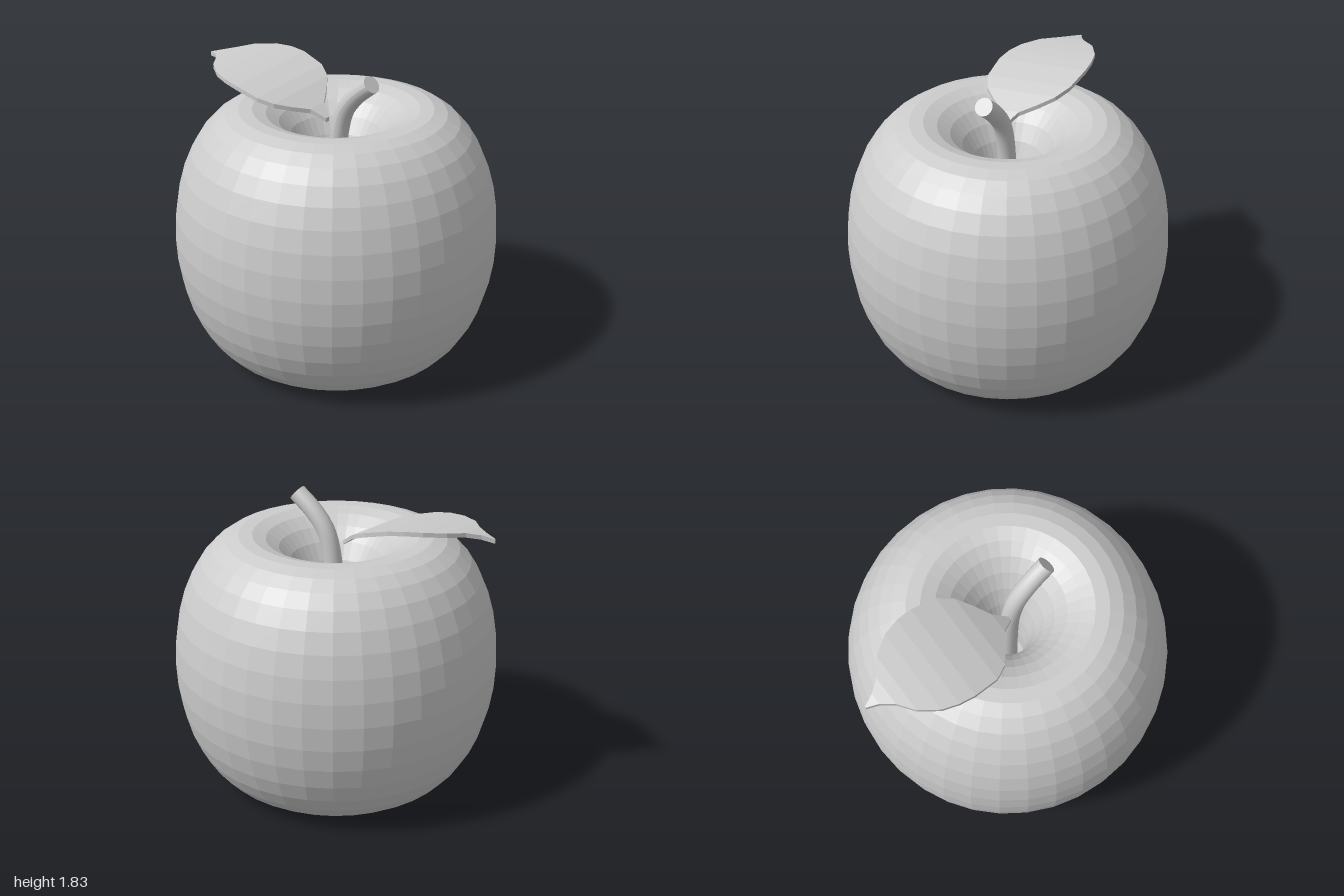
import * as THREE from 'three';

const flat = () => new THREE.MeshStandardMaterial({ color: 0xcccccc, flatShading: true });
const smooth = () => new THREE.MeshStandardMaterial({ color: 0xcccccc });

function named(name, geometry, material) {
  const mesh = new THREE.Mesh(geometry, material);
  mesh.name = name;
  return mesh;
}

// Move every vertex of a geometry by a rule, then refresh its normals.
function reshape(geometry, rule) {
  const pos = geometry.attributes.position;
  const v = new THREE.Vector3();
  for (let i = 0; i < pos.count; i++) {
    rule(v.fromBufferAttribute(pos, i));
    pos.setXYZ(i, v.x, v.y, v.z);
  }
  geometry.computeVertexNormals();
  return geometry;
}

// Fruit: a tall, faceted ring whose narrow middle forms both dimples.
function makeFruit() {
  const geometry = new THREE.TorusGeometry(0.54, 0.445, 34, 36).rotateX(Math.PI / 2);
  geometry.scale(1, 1.783, 1);
  return named('fruitBody', geometry.toNonIndexed(), flat());
}

// Core: closes the narrow middle between the dimples.
function makeCore() {
  return named('core', new THREE.CylinderGeometry(0.098, 0.098, 0.02, 36), flat());
}

// Stem: a cylinder bent along a curve.
function makeStem() {
  const curve = new THREE.CatmullRomCurve3([
    [0.012, 0.79], [0.014, 1.15], [0.03, 1.42], [0.075, 1.58], [0.16, 1.69], [0.275, 1.785],
  ].map(([x, y]) => new THREE.Vector3(x, y, -0.005)));
  const geometry = reshape(new THREE.CylinderGeometry(0.055, 0.055, 1, 20, 24), (v) => {
    const t = THREE.MathUtils.clamp(v.y + 0.5, 0, 1);
    const p = curve.getPointAt(t);
    const d = curve.getTangentAt(t);
    v.set(p.x + d.y * v.x, p.y - d.x * v.x, p.z + v.z);
  });
  return named('stem', geometry, smooth());
}

// Leaf: a thin slab shaped by stations of [x, height, half width] from tip to root.
function makeLeaf() {
  const stations = [
    [-1, 1.705, 0.004], [-0.93, 1.722, 0.035], [-0.86, 1.733, 0.09], [-0.79, 1.737, 0.185],
    [-0.68, 1.735, 0.26], [-0.58, 1.728, 0.29], [-0.48, 1.713, 0.3], [-0.32, 1.67, 0.285],
    [-0.23, 1.635, 0.235], [-0.165, 1.6, 0.155], [-0.1, 1.565, 0.06], [-0.02, 1.51, 0.012],
  ];
  const last = stations.length - 1;
  const geometry = reshape(new THREE.BoxGeometry(1, 0.026, 2, last, 1, 2), (v) => {
    const [x, y, halfWidth] = stations[Math.round((v.x + 0.5) * last)];
    const z = v.z * halfWidth;
    v.set(x, y + v.y - 0.11 * z, 0.045 + z);
  });
  return named('leaf', geometry.toNonIndexed(), flat());
}

export function createModel() {
  const model = new THREE.Group();
  model.name = 'fruit';
  const fruit = makeFruit();
  const core = makeCore();
  for (const part of [fruit, core]) part.position.set(0.005, 0.79, -0.005);
  model.add(fruit, core, makeStem(), makeLeaf());
  return model;
}
